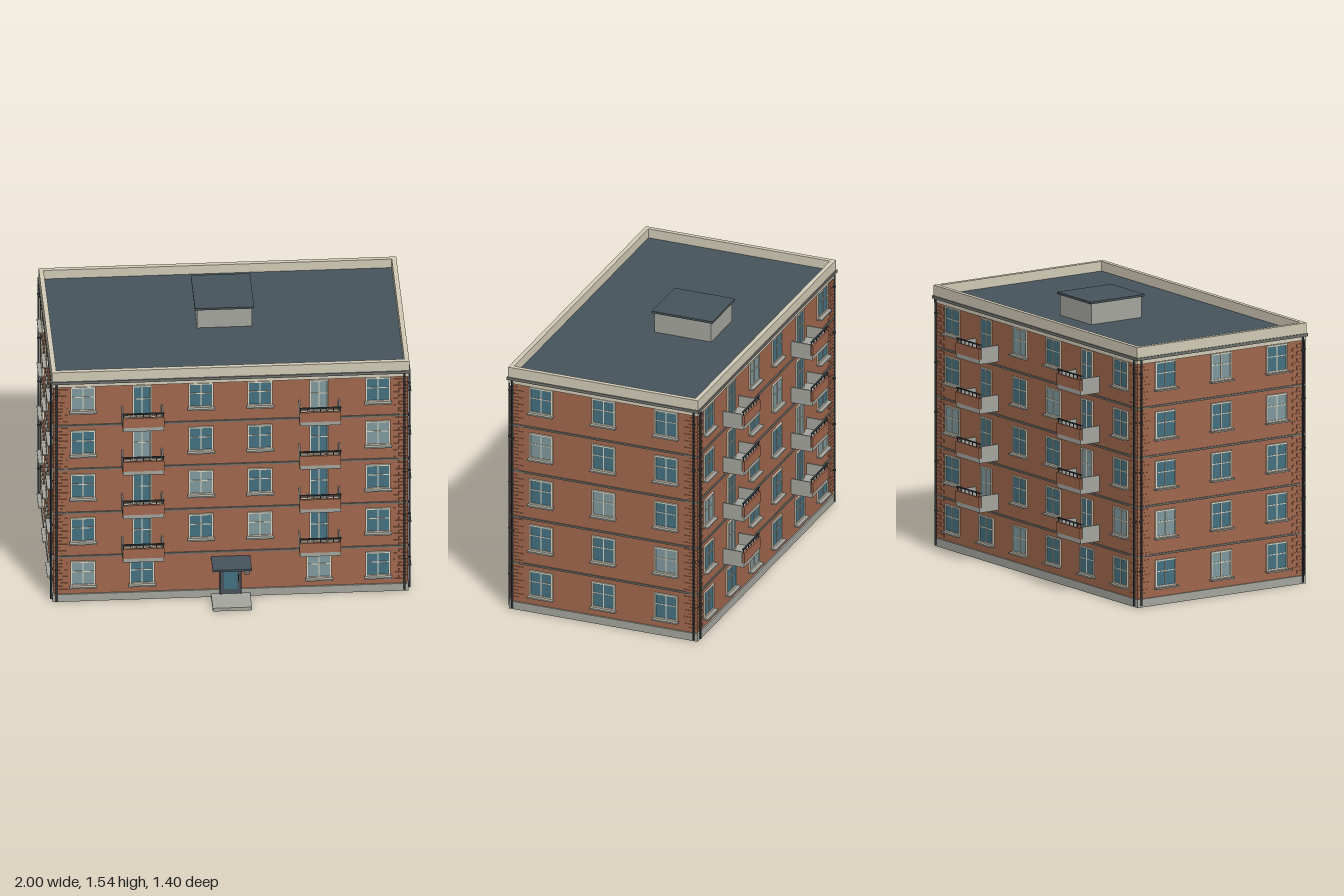
import * as THREE from 'three';

const mat = (color) => new THREE.MeshStandardMaterial({ color });
const M = {
  brick: mat(0x9f664c), concrete: mat(0xa3a49d), roof: mat(0x46535a), metal: mat(0x363f44),
  cream: mat(0xd0c9b5), frame: mat(0xd9d3c0), glass: mat(0x44707f), paleGlass: mat(0x7f989d),
  course: mat(0x6f706b),
};

const HX = 0.97, HZ = 0.5525, CZ = -0.0175; // wall half sizes and centre
const FLOORS = 5, STOREY = 0.2775, WALL_TOP = 1.385;

// box given by its centre x, bottom y, centre z
function box(parent, name, w, h, d, x, y, z, material) {
  const m = new THREE.Mesh(new THREE.BoxGeometry(w, h, d), material);
  m.position.set(x, y + h / 2, z);
  m.name = name;
  parent.add(m);
  return m;
}

function part(parent, name) {
  const g = new THREE.Group();
  g.name = name;
  parent.add(g);
  return g;
}

// rectangular ring lying flat, used for plinth, courses, gutter and parapet
function ring(parent, name, hx, hz, thick, y, h, material) {
  const rect = (T, a, b) => {
    const p = new T();
    p.moveTo(-a, -b); p.lineTo(a, -b); p.lineTo(a, b); p.lineTo(-a, b); p.closePath();
    return p;
  };
  const s = rect(THREE.Shape, hx, hz);
  s.holes.push(rect(THREE.Path, hx - thick, hz - thick));
  const geo = new THREE.ExtrudeGeometry(s, { depth: h, bevelEnabled: false });
  geo.rotateX(-Math.PI / 2);
  const m = new THREE.Mesh(geo, material);
  m.position.y = y;
  m.name = name;
  parent.add(m);
}

// glazed opening with frame, mullion and transom; local z = 0 is the wall face
function glazing(parent, name, x, y, w, h, pale) {
  const g = part(parent, name), t = 0.008, d = 0.014;
  g.position.set(x, y, 0);
  box(g, 'glass', w - t, h - t, 0.006, 0, t / 2, 0.001, pale ? M.paleGlass : M.glass);
  for (const s of [-1, 1]) box(g, 'frameSide', t, h, d, s * (w - t) / 2, 0, 0.002, M.frame);
  for (const b of [0, h - t]) box(g, 'frameRail', w - 2 * t, t, d, 0, b, 0.002, M.frame);
  box(g, 'mullion', 0.005, h - 2 * t, 0.01, 0, t, 0.002, M.frame);
  box(g, 'transom', w - 2 * t, 0.005, 0.0098, 0, h * 0.56, 0.002, M.frame);
  return g;
}

function sashWindow(parent, x, y, pale) {
  const g = glazing(parent, 'window', x, y, 0.137, 0.153, pale);
  box(g, 'sill', 0.15, 0.008, 0.034, 0, -0.008, 0.013, M.concrete);
}

function balcony(parent, x, floorY, pale) {
  const g = part(parent, 'balcony');
  g.position.set(x, floorY, 0);
  const w = 0.226, depth = 0.125, bottom = 0.028;
  glazing(g, 'balconyDoor', 0, bottom + 0.024, 0.106, 0.197, pale);
  box(g, 'slab', w, 0.026, depth, 0, bottom, depth / 2, M.concrete);
  for (const s of [-1, 1]) {
    box(g, 'sidePanel', 0.008, 0.068, depth - 0.012, s * (w / 2 - 0.004), bottom + 0.025, (depth - 0.012) / 2, M.concrete);
  }
  box(g, 'frontPanel', w + 0.002, 0.06, 0.012, 0, bottom + 0.026, depth - 0.002, M.brick);
  // railing on top of the front panel
  const railZ = depth - 0.006;
  box(g, 'handrail', w + 0.004, 0.006, 0.009, 0, bottom + 0.105, railZ, M.metal);
  for (let i = 0; i < 7; i++) {
    box(g, 'railPost', 0.004, 0.022, 0.004, (i / 6 - 0.5) * (w - 0.008), bottom + 0.085, railZ, M.metal);
  }
}

// downpipe with wall clips and an angled shoe
function downpipe(parent, x) {
  const g = part(parent, 'downpipe');
  g.position.set(x, 0, 0.015);
  const pipe = new THREE.Mesh(new THREE.CylinderGeometry(0.0055, 0.0055, WALL_TOP - 0.01, 8), M.metal);
  pipe.position.y = (WALL_TOP + 0.01) / 2;
  pipe.name = 'pipe';
  g.add(pipe);
  for (let f = 1; f <= FLOORS; f++) box(g, 'pipeClip', 0.015, 0.007, 0.018, 0, f * STOREY - 0.08, -0.003, M.metal);
}

// one wall: columns of openings counted left to right from outside
function facade(root, name, half, z, angle, columns, opts) {
  const g = part(root, name);
  g.rotation.y = angle;
  g.position.set(Math.sin(angle) * z, 0, CZ + Math.cos(angle) * z);
  for (let f = 0; f < FLOORS; f++) {
    columns.forEach((x, c) => {
      const pale = (c + f) % 4 === opts.paleOffset;
      if (opts.balconies && f > 0 && (c === 1 || c === 4)) balcony(g, x, f * STOREY, pale);
      else if (!(opts.entrance && f === 0 && (c === 2 || c === 3))) sashWindow(g, x, 0.099 + f * STOREY, pale);
    });
  }
  for (const s of [-1, 1]) downpipe(g, s * (half - 0.014));
  return g;
}

function entrance(front) {
  const g = part(front, 'entrance');
  box(g, 'step', 0.215, 0.02, 0.165, 0, 0, 0.0825, M.concrete);
  box(g, 'canopy', 0.215, 0.012, 0.15, 0, 0.243, 0.079, M.roof);
  box(g, 'doorLeaf', 0.104, 0.195, 0.014, 0, 0.02, 0.005, M.roof);
  for (const s of [-1, 1]) box(g, 'doorJamb', 0.008, 0.205, 0.024, s * 0.056, 0.02, 0.006, M.metal);
  box(g, 'doorHead', 0.12, 0.008, 0.024, 0, 0.218, 0.006, M.metal);
  box(g, 'doorGlass', 0.074, 0.155, 0.004, 0, 0.05, 0.012, M.glass);
  box(g, 'doorHandle', 0.005, 0.04, 0.012, 0.043, 0.1, 0.017, M.metal);
  box(g, 'wallLamp', 0.012, 0.022, 0.018, -0.09, 0.18, 0.008, M.frame);
  box(g, 'letterBox', 0.026, 0.032, 0.016, 0.09, 0.14, 0.008, M.course);
}

export function createModel() {
  const root = new THREE.Group();
  root.name = 'apartmentBlock';

  // brick body and base
  box(root, 'walls', HX * 2, WALL_TOP - 0.02, HZ * 2, 0, 0.02, CZ, M.brick);
  box(root, 'plinth', HX * 2 + 0.016, 0.046, HZ * 2 + 0.016, 0, 0, CZ, M.concrete);

  // toothed brick corners
  const corners = part(root, 'brickCorners');
  for (const sx of [-1, 1]) for (const sz of [-1, 1]) {
    for (let y = 0.06, i = 0; y < 1.34; y += 0.0205, i++) {
      const w = i % 2 ? 0.05 : 0.08, l = i % 2 ? 0.08 : 0.05;
      box(corners, 'cornerBrick', w, 0.016, l,
        sx * (HX + 0.004 - w / 2), y, CZ + sz * (HZ + 0.004 - l / 2), M.brick);
    }
  }

  // horizontal bands and roof edge
  const bands = part(root, 'bands');
  bands.position.z = CZ;
  for (let f = 1; f < FLOORS; f++) {
    ring(bands, 'stringCourse', HX + 0.007, HZ + 0.007, 0.02, f * STOREY + 0.001, 0.01, M.course);
  }
  ring(bands, 'cornice', HX + 0.01, HZ + 0.01, 0.03, 1.365, 0.022, M.cream);
  ring(bands, 'gutter', HX + 0.018, HZ + 0.018, 0.03, 1.387, 0.016, M.course);
  ring(bands, 'parapet', HX + 0.012, HZ + 0.012, 0.026, 1.4, 0.062, M.cream);

  // flat roof and access hatch
  box(root, 'roofDeck', HX * 2 - 0.01, 0.03, HZ * 2 - 0.01, 0, 1.378, CZ, M.roof);
  const hatch = part(root, 'roofHatch');
  hatch.position.z = -0.145;
  box(hatch, 'hatchBody', 0.3, 0.13, 0.335, 0, 1.4, 0, M.concrete);
  box(hatch, 'hatchCover', 0.325, 0.012, 0.36, 0, 1.526, 0, M.roof);

  // four walls of openings
  const wide = [-2.5, -1.5, -0.5, 0.5, 1.5, 2.5].map((k) => k * 0.324);
  const narrow = [-0.371, 0, 0.371];
  const front = facade(root, 'frontWall', HX, HZ, 0, wide, { paleOffset: 0, balconies: true, entrance: true });
  facade(root, 'backWall', HX, HZ, Math.PI, wide, { paleOffset: 2, balconies: true });
  facade(root, 'leftWall', HZ, HX, Math.PI / 2, narrow, { paleOffset: 3 });
  facade(root, 'rightWall', HZ, HX, -Math.PI / 2, narrow, { paleOffset: 1 });
  entrance(front);
  return root;
}
